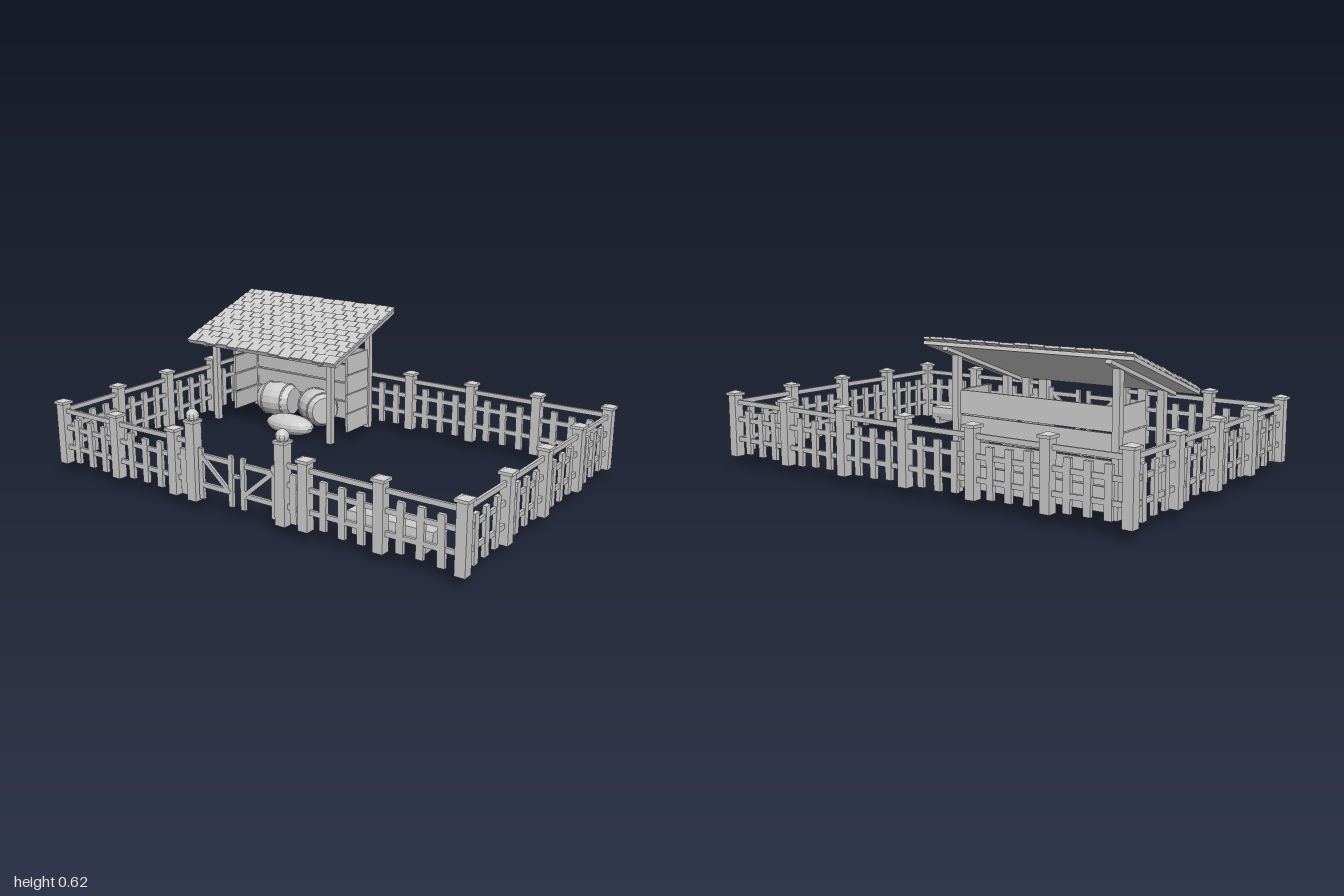
import * as THREE from 'three';

export function createModel() {
  const root = new THREE.Group();
  const mat = new THREE.MeshStandardMaterial({ color: 0xcccccc, flatShading: true });
  let seed = 7;
  const rnd = (a) => { // small seeded jitter in -a..a
    seed = (seed * 16807) % 2147483647;
    return (seed / 2147483647 * 2 - 1) * a;
  };
  const add = (parent, name, geo, x, y, z) => {
    const m = new THREE.Mesh(geo, mat);
    m.name = name;
    m.position.set(x, y, z);
    parent.add(m);
    return m;
  };
  const box = (parent, name, w, h, d, x, y, z) => add(parent, name, new THREE.BoxGeometry(w, h, d), x, y, z);
  const group = (name, parent = root) => {
    const g = new THREE.Group();
    g.name = name;
    parent.add(g);
    return g;
  };

  // Fence posts with flared caps
  const fence = group('fence');
  const X = 0.97, ZF = 0.63, ZB = -0.64;
  const post = (x, z) => {
    const g = group('fencePost', fence);
    g.position.set(x, 0, z);
    box(g, 'postShaft', 0.042, 0.27, 0.042, 0, 0.18, 0);
    box(g, 'postCap', 0.056, 0.012, 0.056, 0, 0.316, 0);
    const top = add(g, 'capPeak', new THREE.ConeGeometry(0.036, 0.01, 4), 0, 0.327, 0);
    top.rotation.y = Math.PI / 4;
  };

  // One bay of fence: three rails and evenly spaced pickets
  const bay = (x0, z0, x1, z1, pickets = 3) => {
    const g = group('fenceBay', fence);
    const len = Math.hypot(x1 - x0, z1 - z0);
    g.position.set((x0 + x1) / 2, 0, (z0 + z1) / 2);
    g.rotation.y = -Math.atan2(z1 - z0, x1 - x0);
    for (const y of [0.12, 0.206, 0.28]) {
      const rail = box(g, 'rail', len, 0.02, 0.011, 0, y, 0);
      rail.rotation.z = rnd(0.008);
    }
    for (let i = 0; i < pickets; i++) {
      const x = ((i + 1) / (pickets + 1) - 0.5) * len;
      const p = box(g, 'picket', 0.03, 0.195 + rnd(0.006), 0.016, x, 0.153 + rnd(0.004), 0);
      p.rotation.z = rnd(0.02);
    }
  };

  const xs = [-0.97, -0.647, -0.323, 0, 0.323, 0.647, 0.97];
  const zs = [ZB, -0.32, 0, 0.315, ZF];
  xs.forEach((x, i) => {
    post(x, ZB);
    if (x !== 0) post(x, ZF);
    if (i === 6) return;
    bay(x, ZB, xs[i + 1], ZB);
    if (i < 2 || i > 3) bay(x, ZF, xs[i + 1], ZF);
  });
  for (const x of [-X, X]) {
    zs.slice(1, 4).forEach((z) => post(x, z));
    for (let i = 0; i < 4; i++) bay(x, zs[i], x, zs[i + 1]);
  }

  // Gate: ball-topped posts and two braced leaves
  const gate = group('gate');
  for (const s of [-1, 1]) {
    bay(s * 0.323, ZF, s * 0.22, ZF, 1);
    box(gate, 'gatePost', 0.046, 0.325, 0.046, s * 0.22, 0.205, ZF);
    box(gate, 'gatePostCollar', 0.054, 0.012, 0.054, s * 0.22, 0.368, ZF);
    add(gate, 'gatePostBall', new THREE.SphereGeometry(0.027, 10, 8), s * 0.22, 0.389, ZF);
    const leaf = group('gateLeaf', gate);
    leaf.position.set(s * 0.105, 0, ZF);
    for (const x of [-0.075, 0.075]) box(leaf, 'gateStile', 0.022, 0.21, 0.014, x, 0.16, 0);
    for (const y of [0.115, 0.235]) box(leaf, 'gateRail', 0.17, 0.02, 0.012, 0, y, 0);
    const brace = box(leaf, 'gateBrace', 0.19, 0.018, 0.01, 0, 0.175, 0.004);
    brace.rotation.z = s * Math.atan2(0.12, 0.14);
  }
  box(gate, 'latch', 0.03, 0.014, 0.014, 0.01, 0.19, ZF + 0.013);

  // Shelter: posts, plank walls
  const shelter = group('shelter');
  for (const x of [-0.87, -0.19]) {
    box(shelter, 'frontPost', 0.028, 0.42, 0.028, x, 0.25, -0.245);
    box(shelter, 'backPost', 0.028, 0.53, 0.028, x, 0.305, -0.558);
    for (let i = 0; i < 4; i++) {
      const p = box(shelter, 'sidePlank', 0.012, 0.087, 0.172, x, 0.102 + i * 0.093, -0.46);
      p.rotation.z = 0.05 * Math.sign(x + 0.5);
    }
  }
  for (let i = 0; i < 4; i++) {
    const p = box(shelter, 'backPlank', 0.68, 0.087, 0.012, -0.53, 0.102 + i * 0.093, -0.552);
    p.rotation.x = 0.05;
  }

  // Sloping roof with staggered shingles
  const roof = group('roof', shelter);
  const slope = Math.atan2(0.165, 0.475), L = 0.51, W = 0.875;
  roof.position.set(-0.537, 0.517, -0.4);
  roof.rotation.x = slope;
  box(roof, 'roofBoard', W, 0.014, L, 0, 0, 0);
  for (const x of [-0.34, 0.34]) box(roof, 'rafter', 0.024, 0.016, L * 0.96, x, -0.013, 0);
  const rows = 12, cols = 14, pitch = L / rows, w = W / cols;
  for (let r = 0; r < rows; r++) {
    const half = r % 2;
    for (let c = 0; c < cols + half; c++) {
      const a = Math.max(0, c - half / 2) * w, b = Math.min(W, (c + 1 - half / 2) * w);
      const len = pitch * 1.35 + rnd(0.006);
      const s = box(roof, 'shingle', b - a - 0.004, 0.009, len,
        (a + b) / 2 - W / 2, 0.014 + rnd(0.0015), L / 2 - (r + 1) * pitch + len / 2 - 0.008);
      s.rotation.x = 0.11;
    }
  }

  // Rolled bales bound with two bands, axis along x before turning
  const bale = (x, z, turn) => {
    const g = group('bale', shelter);
    g.position.set(x, 0.13, z);
    g.rotation.y = turn;
    const profile = [[0, -0.088], [0.065, -0.088], [0.078, -0.06], [0.085, 0], [0.078, 0.06], [0.065, 0.088], [0, 0.088]]
      .map(([r, y]) => new THREE.Vector2(r, y));
    add(g, 'baleBody', new THREE.LatheGeometry(profile, 16), 0, 0, 0).rotation.z = Math.PI / 2;
    for (const bx of [-0.055, 0.055]) {
      add(g, 'baleBand', new THREE.TorusGeometry(0.08, 0.005, 5, 16), bx, 0, 0).rotation.y = Math.PI / 2;
    }
  };
  bale(-0.65, -0.45, 0.1);
  bale(-0.41, -0.45, -0.55);

  // Sack lying in front of the bales
  const sack = add(shelter, 'sack', new THREE.SphereGeometry(1, 16, 10), -0.5, 0.05, -0.345);
  sack.scale.set(0.135, 0.049, 0.066);

  // Feeding trough on two feet
  const trough = group('trough');
  trough.position.set(0.63, 0, 0.512);
  const section = new THREE.Shape([[-0.036, 0.065], [0.036, 0.065], [0.04, 0.1], [0.036, 0.128], [-0.036, 0.128], [-0.04, 0.1]]
    .map(([x, y]) => new THREE.Vector2(x, y)));
  const body = add(trough, 'troughBody', new THREE.ExtrudeGeometry(section, { depth: 0.36, bevelEnabled: false }), -0.18, 0, 0);
  body.rotation.y = Math.PI / 2;
  for (const x of [-0.14, 0.14]) box(trough, 'troughFoot', 0.03, 0.035, 0.086, x, 0.0615, 0);

  return root;
}
